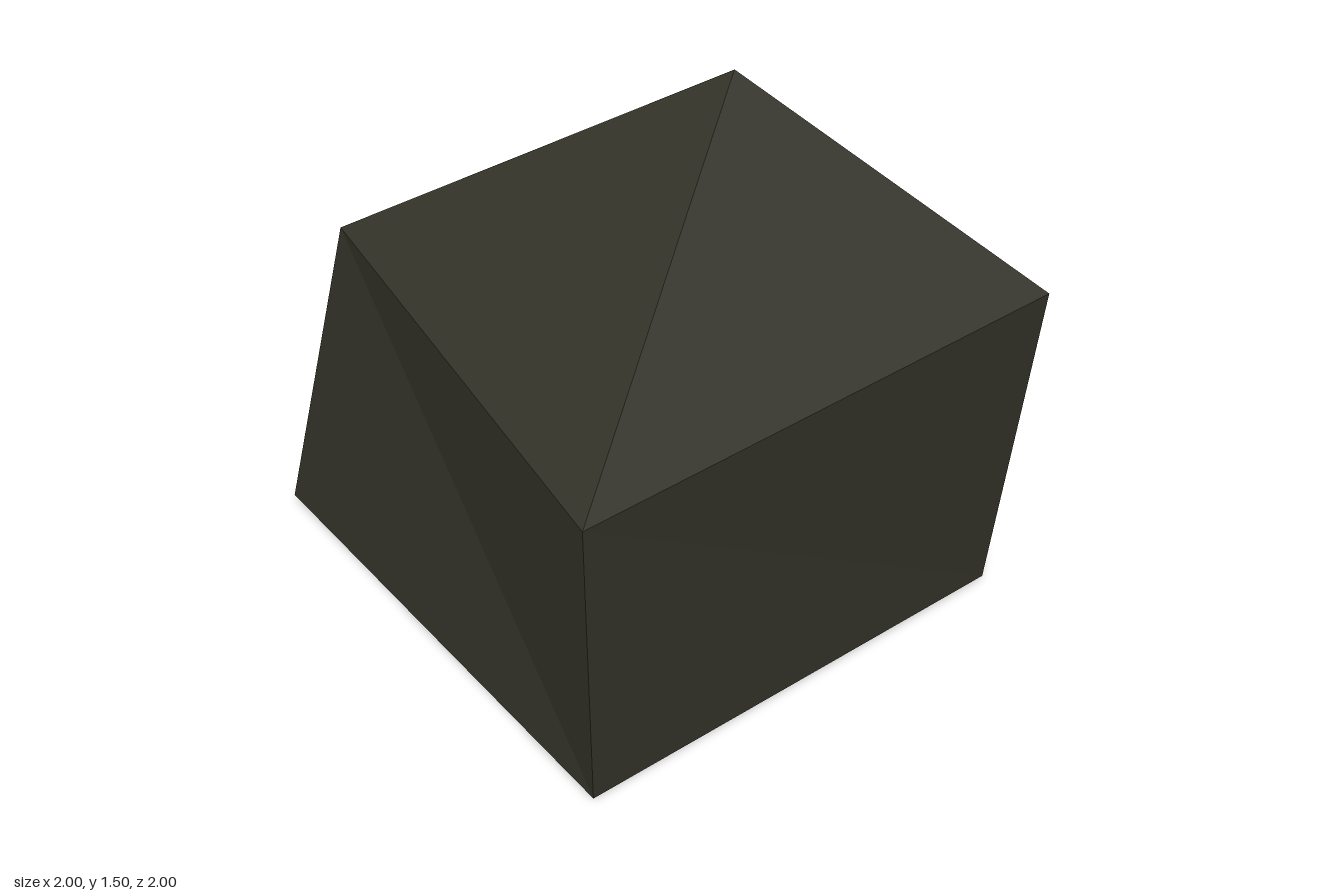
import * as THREE from 'three';

// Faceted boulder: two four-cornered rings (left-hand x, front, far x, back) and a peak
export function createModel() {
  const stone = new THREE.MeshStandardMaterial({ color: 0x333228 });
  stone.name = 'darkStone';
  stone.flatShading = true;

  const base = [[-1, 0.035, 0], [0.035, 0, 0.94], [0.92, 0.02, 0], [0.035, 0.055, -1]];
  const shoulder = [[-0.79, 0.945, 0], [0.035, 0.885, 1], [1, 0.945, 0], [0.035, 0.9, -0.97]];
  const peak = [0.215, 1.5, 0.02];

  const positions = [];
  const face = (...corners) => corners.forEach((p) => positions.push(...p));

  for (let i = 0; i < 4; i++) {
    const j = (i + 1) % 4;
    // Side wall, split along one diagonal
    face(base[i], base[j], shoulder[i]);
    face(base[j], shoulder[j], shoulder[i]);
    // Sloping top facet
    face(shoulder[i], shoulder[j], peak);
  }
  // Underside
  face(base[0], base[3], base[2]);
  face(base[0], base[2], base[1]);

  const geometry = new THREE.BufferGeometry();
  geometry.setAttribute('position', new THREE.Float32BufferAttribute(positions, 3));
  geometry.computeVertexNormals();

  const rock = new THREE.Mesh(geometry, stone);
  rock.name = 'rock';

  const group = new THREE.Group();
  group.name = 'boulder';
  group.add(rock);
  return group;
}
